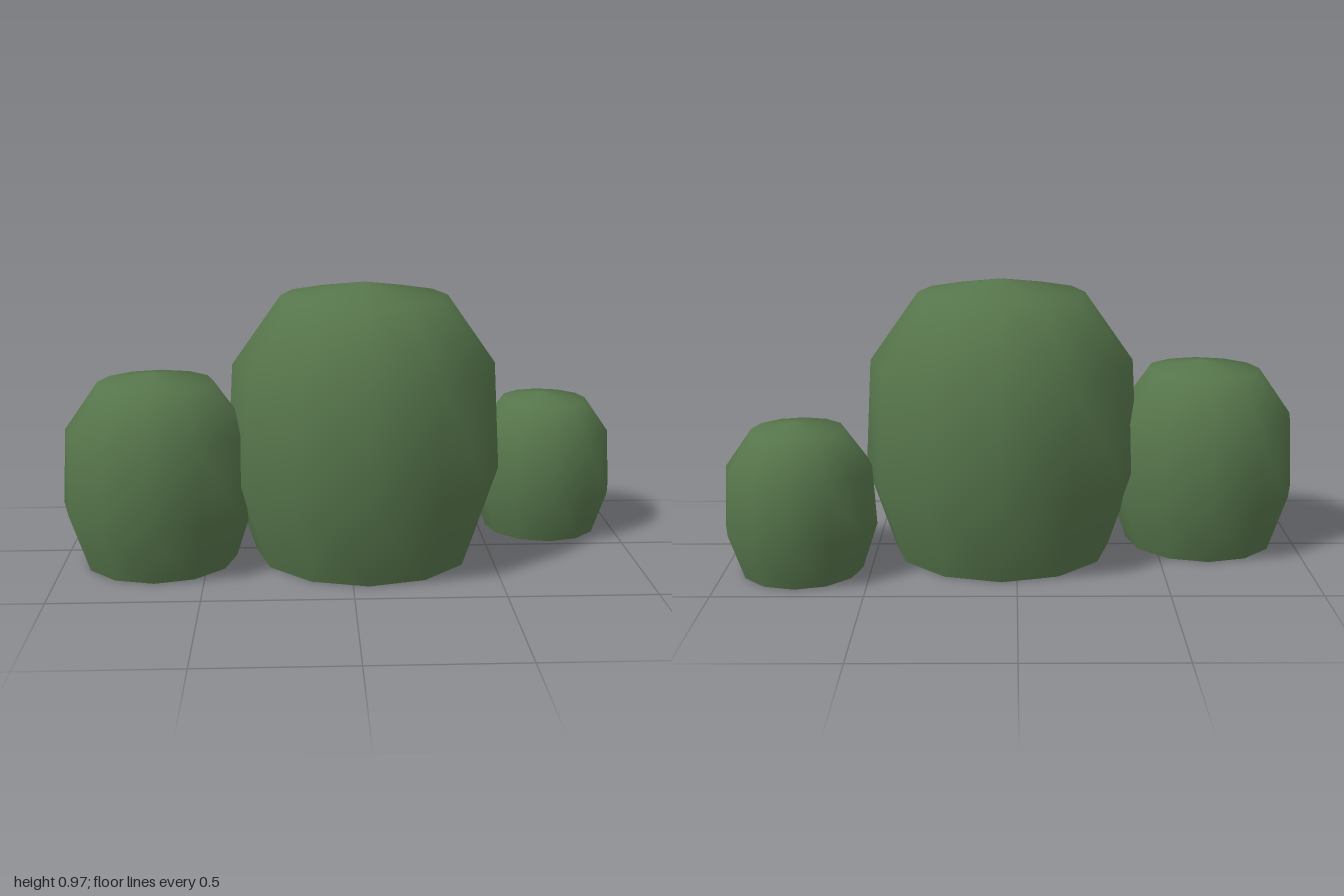
import * as THREE from 'three';

// Half outline of a bush, from the open foot to the shallow crown
const PROFILE = [
  [0.385, 0], [0.483, 0.297], [0.46, 0.68], [0.29, 0.92], [0, 0.967],
].map(([r, y]) => new THREE.Vector2(r, y));

export function createModel() {
  const group = new THREE.Group();
  group.name = 'bushCluster';
  const leafGreen = new THREE.MeshStandardMaterial({ color: 0x56754b, side: THREE.DoubleSide });
  leafGreen.name = 'leafGreen';

  // Twelve-sided rounded bush, open underneath
  const geometry = new THREE.LatheGeometry(PROFILE, 12);

  const addBush = (name, x, z, scale) => {
    const bush = new THREE.Mesh(geometry, leafGreen);
    bush.name = name;
    bush.position.set(x, 0, z);
    bush.scale.setScalar(scale);
    group.add(bush);
  };

  addBush('largeBush', 0.053, 0.008, 1);
  addBush('mediumBush', -0.667, 0.075, 0.69);
  addBush('smallBush', 0.737, -0.233, 0.537);
  return group;
}
